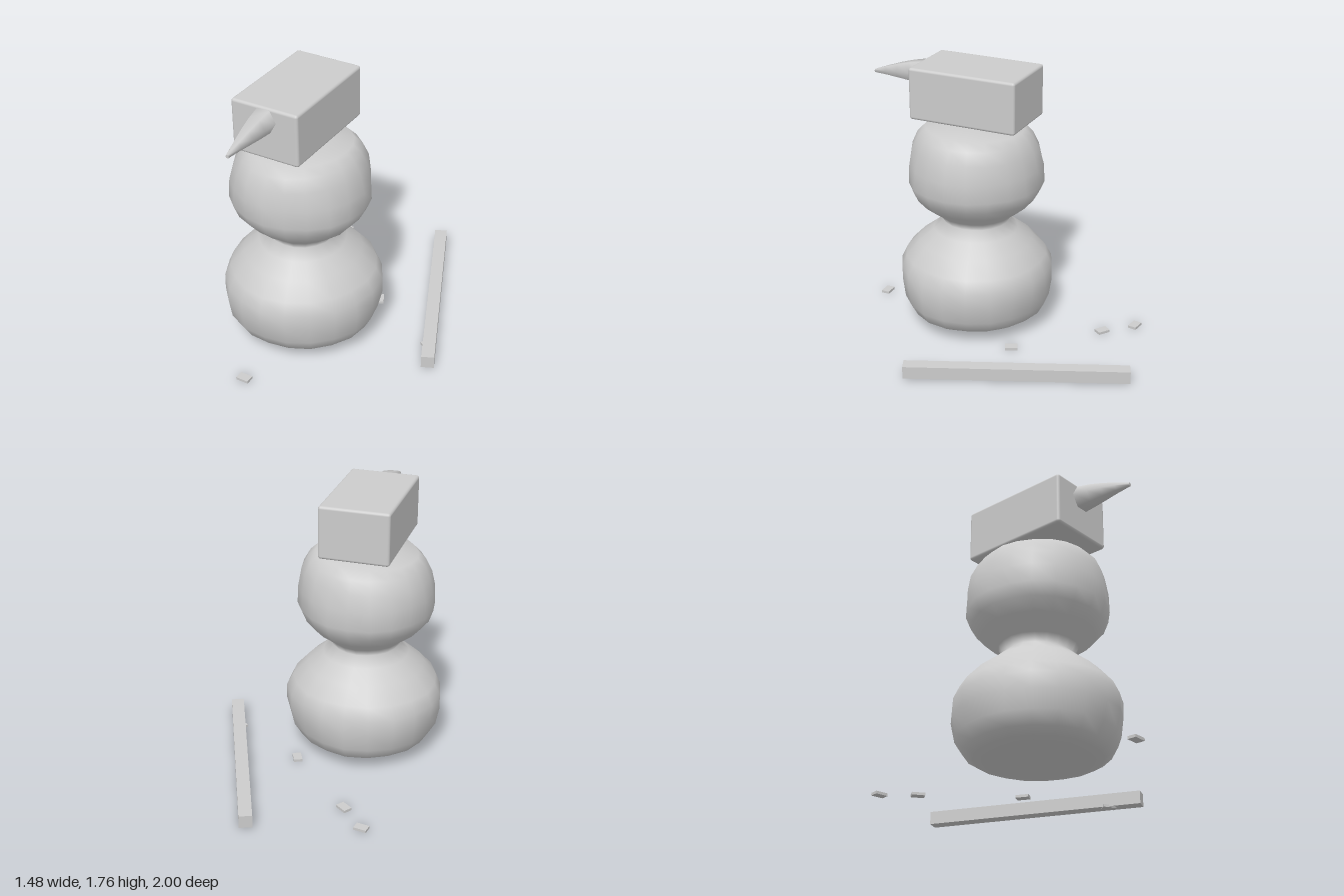
import * as THREE from 'three';
import { RoundedBoxGeometry } from 'three/addons/geometries/RoundedBoxGeometry.js';

const grey = new THREE.MeshStandardMaterial({ color: 0xcccccc, side: THREE.DoubleSide });

function add(group, name, geometry, x, y, z, turn = 0) {
  const mesh = new THREE.Mesh(geometry, grey);
  mesh.name = name;
  mesh.position.set(x, y, z);
  mesh.rotation.y = turn;
  group.add(mesh);
  return mesh;
}

// Two pinched snowballs, slightly lumpy
function bodyGeometry() {
  const profile = [
    [0, 0.018], [0.2, 0.035], [0.38, 0.06], [0.445, 0.1], [0.49, 0.18], [0.51, 0.3], [0.508, 0.4],
    [0.47, 0.48], [0.38, 0.58], [0.28, 0.66], [0.215, 0.72], [0.245, 0.77], [0.35, 0.85],
    [0.41, 0.92], [0.442, 1.0], [0.437, 1.12], [0.415, 1.23], [0.375, 1.31], [0.325, 1.36],
    [0.18, 1.385], [0, 1.403],
  ].map(([r, y]) => new THREE.Vector2(r, y));
  const geometry = new THREE.LatheGeometry(profile, 20);
  const p = geometry.attributes.position;
  for (let i = 0; i < p.count; i++) {
    const x = p.getX(i), y = p.getY(i), z = p.getZ(i);
    const a = Math.atan2(z, x);
    const lump = 1 + 0.012 * Math.sin(3 * a + y * 7) + 0.008 * Math.cos(7 * a - y * 11);
    p.setX(i, x * lump);
    p.setZ(i, z * lump);
    if (y > 1.2) p.setY(i, y + 0.035 * x); // top tilts a little
  }
  // Welded seam normals: first and last lathe columns share position
  geometry.computeVertexNormals();
  const n = geometry.attributes.normal, rows = profile.length, last = p.count - rows;
  for (let j = 0; j < rows; j++) {
    const v = new THREE.Vector3().fromBufferAttribute(n, j)
      .add(new THREE.Vector3().fromBufferAttribute(n, last + j)).normalize();
    n.setXYZ(j, v.x, v.y, v.z);
    n.setXYZ(last + j, v.x, v.y, v.z);
  }
  return geometry;
}

// Six-sided carrot, straight underneath and drooping on top
function noseGeometry() {
  const length = 0.37;
  const geometry = new THREE.CylinderGeometry(0.012, 0.083, length, 6, 4);
  geometry.rotateY(Math.PI / 6);
  geometry.rotateX(Math.PI / 2);
  const p = geometry.attributes.position;
  for (let i = 0; i < p.count; i++) {
    const t = p.getZ(i) / length + 0.5;
    const bulge = 1 + 0.4 * t * (1 - t);
    p.setX(i, p.getX(i) * bulge);
    p.setY(i, p.getY(i) * bulge - 0.022 * t - 0.025 * t * t);
  }
  geometry.computeVertexNormals();
  return geometry;
}

export function createModel() {
  const model = new THREE.Group();
  model.name = 'snowman';

  add(model, 'body', bodyGeometry(), -0.235, 0, 0.265);
  add(model, 'head', new RoundedBoxGeometry(0.45, 0.34, 0.735, 3, 0.018), -0.245, 1.59, 0.263);
  add(model, 'nose', noseGeometry(), -0.245, 1.676, 0.815);

  // Fallen stick on the ground
  add(model, 'stick', new THREE.BoxGeometry(0.083, 0.083, 1.415), 0.425, 0.047, -0.333, Math.atan2(0.55, 1.305));

  // Scattered pebbles: x, z, turn
  const pebbles = [
    [-0.513, -0.78, -0.15], [-0.352, -0.608, -0.62], [0.103, -0.15, -1.13],
    [0.605, 0.13, -0.6], [-0.245, 0.972, 0],
  ];
  const pebble = new THREE.BoxGeometry(0.083, 0.017, 0.056);
  pebbles.forEach(([x, z, turn], i) => add(model, `pebble${i + 1}`, pebble, x, 0.0085, z, turn));

  return model;
}
